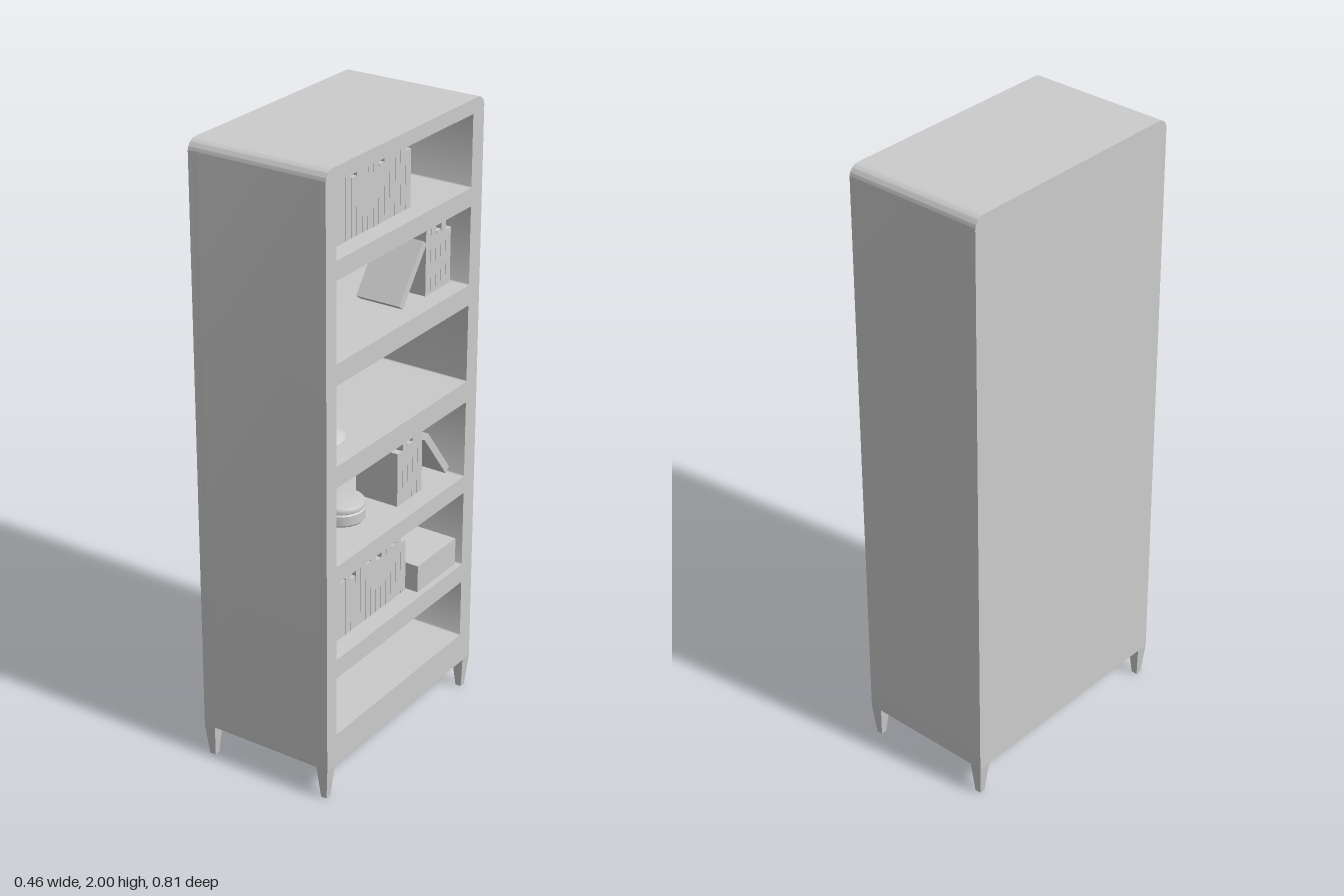
import * as THREE from 'three';
import { toCreasedNormals } from 'three/addons/utils/BufferGeometryUtils.js';

const material = new THREE.MeshStandardMaterial({ color: 0xcccccc });

// Case dimensions; the open face looks towards +x
const HALF_X = 0.23, HALF_Z = 0.404, BASE = 0.108, TOP = 2, BACK = 0.03;
const OPEN_FRONT = 0.354, OPEN_REAR = -0.344; // z limits of every compartment
const COMPARTMENTS = [ // floor and ceiling heights, bottom to top
  [0.212, 0.407], [0.471, 0.725], [0.783, 1.037],
  [1.106, 1.357], [1.423, 1.672], [1.73, 1.955],
];
const BOOK_X = 0.095, BOOK_DEPTH = 0.15, BOOK_PITCH = 0.0275;
const BOOK_HEIGHTS = [0.214, 0.214, 0.188, 0.214, 0.177];

function add(parent, name, geometry, x = 0, y = 0, z = 0) {
  const mesh = new THREE.Mesh(geometry, material);
  mesh.name = name;
  mesh.position.set(x, y, z);
  parent.add(mesh);
  return mesh;
}

// Closed outline with separate radii for the lower and upper corners
function outline(path, l, b, r, t, lower, upper) {
  path.moveTo(l + lower, b);
  path.lineTo(r - lower, b);
  if (lower) path.absarc(r - lower, b + lower, lower, -Math.PI / 2, 0);
  path.lineTo(r, t - upper);
  path.absarc(r - upper, t - upper, upper, 0, Math.PI / 2);
  path.lineTo(l + upper, t);
  path.absarc(l + upper, t - upper, upper, Math.PI / 2, Math.PI);
  path.lineTo(l, b + lower);
  if (lower) path.absarc(l + lower, b + lower, lower, Math.PI, Math.PI * 1.5);
  return path;
}

// Side profile (horizontal axis is -z) swept along +x
function sweep(shape, depth) {
  const g = new THREE.ExtrudeGeometry(shape, { depth, bevelEnabled: false, curveSegments: 8 });
  return toCreasedNormals(g.rotateY(Math.PI / 2), 0.6);
}

function caseShape() {
  return outline(new THREE.Shape(), -HALF_Z, BASE, HALF_Z, TOP, 0, 0.035);
}

// Row of upright books running from zStart towards -z
function bookRow(parent, count, zStart, floor, heights = BOOK_HEIGHTS) {
  const row = new THREE.Group();
  row.name = 'bookRow';
  parent.add(row);
  for (let i = 0; i < count; i++) {
    const h = heights[i % heights.length];
    add(row, 'book', new THREE.BoxGeometry(BOOK_DEPTH, h, 0.0262),
      BOOK_X, floor + h / 2, zStart - (i + 0.5) * BOOK_PITCH);
  }
}

function leaningBook(parent, y, z, tilt) {
  const book = add(parent, 'leaningBook', new THREE.BoxGeometry(BOOK_DEPTH, 0.206, 0.025), BOOK_X + 0.005, y, z);
  book.rotation.x = tilt;
}

function lathe(points) {
  const profile = points.map(([r, y]) => new THREE.Vector2(r, y));
  return toCreasedNormals(new THREE.LatheGeometry(profile, 40), 0.6);
}

export function createModel() {
  const model = new THREE.Group();
  model.name = 'bookcase';

  // Case with compartments cut through, closed by a back panel
  const shape = caseShape();
  for (const [floor, ceiling] of COMPARTMENTS) {
    shape.holes.push(outline(new THREE.Path(), -OPEN_FRONT, floor, -OPEN_REAR, ceiling, 0.004, 0.004));
  }
  add(model, 'shelfCase', sweep(shape, HALF_X * 2 - BACK), -HALF_X + BACK);
  add(model, 'backPanel', sweep(caseShape(), BACK), -HALF_X);

  // Tapered square legs under the four corners
  const legGeometry = new THREE.CylinderGeometry(0.02 * Math.SQRT2, 0.01 * Math.SQRT2, BASE, 4, 1)
    .rotateY(Math.PI / 4).toNonIndexed();
  legGeometry.computeVertexNormals();
  for (const sx of [-1, 1]) {
    for (const sz of [-1, 1]) {
      add(model, 'leg', legGeometry, sx * (HALF_X - 0.02), BASE / 2, sz * (HALF_Z - 0.02));
    }
  }

  const floors = COMPARTMENTS.map(c => c[0]);

  // Full rows on the second and top shelves
  bookRow(model, 15, 0.304, floors[1]);
  bookRow(model, 15, 0.304, floors[5]);

  // Short rows, each with a book leaning against it
  bookRow(model, 5, -0.195, floors[4]);
  leaningBook(model, 1.517, -0.119, -0.65);
  bookRow(model, 5, -0.056, floors[2], [...BOOK_HEIGHTS].reverse());
  leaningBook(model, 0.876, -0.272, 0.65);

  // Storage box
  add(model, 'storageBox', new THREE.BoxGeometry(0.2, 0.091, 0.219), 0.11, floors[1] + 0.0455, -0.226);

  // Round lidded tin
  add(model, 'roundTin', lathe([
    [0, 0], [0.07, 0], [0.074, 0.005], [0.074, 0.036], [0.07, 0.04], [0.07, 0.043],
    [0.074, 0.046], [0.074, 0.055], [0.07, 0.061], [0.05, 0.064], [0, 0.065],
  ]), 0.065, floors[2], 0.09);

  // Ball on a conical stand
  add(model, 'ballStand', lathe([[0, 0], [0.1, 0], [0.1, 0.003], [0.035, 0.045], [0, 0.045]]),
    0.06, floors[3], 0.235);
  add(model, 'ball', new THREE.SphereGeometry(0.06, 32, 20), 0.06, 1.197, 0.235);

  return model;
}
